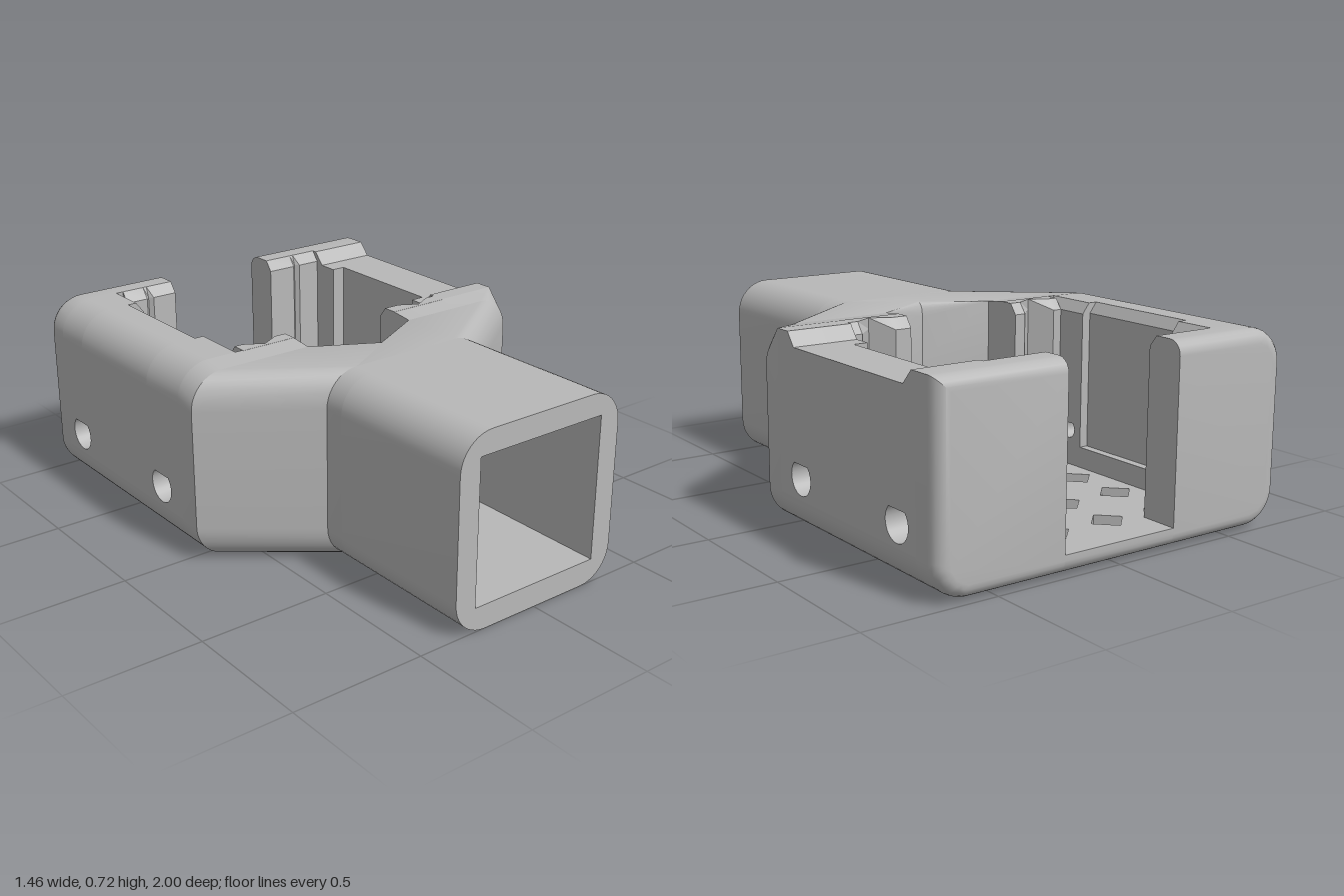
import * as THREE from 'three';
import { toCreasedNormals } from 'three/addons/utils/BufferGeometryUtils.js';
import { ConvexGeometry } from 'three/addons/geometries/ConvexGeometry.js';

const BACK = -0.885, FRONT = -0.04, SLOT = 0.235, HALF = 0.73, LOW = 0.01, TOP = 0.72, R = 0.13;

// Rectangle outline with its own radius on each corner: bottom right, top right, top left, bottom left
function section(x0, x1, y0, y1, [br, tr, tl, bl]) {
  const pts = [];
  const corner = (cx, cy, r, start) => {
    const n = r > 0 ? 10 : 0;
    for (let i = 0; i <= n; i++) {
      const a = start + (n ? (i / n) * Math.PI / 2 : 0);
      pts.push(new THREE.Vector2(cx + r * Math.cos(a), cy + r * Math.sin(a)));
    }
  };
  corner(x1 - br, y0 + br, br, -Math.PI / 2);
  corner(x1 - tr, y1 - tr, tr, 0);
  corner(x0 + tl, y1 - tl, tl, Math.PI / 2);
  corner(x0 + bl, y0 + bl, bl, Math.PI);
  return pts;
}
const toShape = (pts) => new THREE.Shape(pts.map((p) => (Array.isArray(p) ? new THREE.Vector2(...p) : p)));
const extrude = (shape, depth) => new THREE.ExtrudeGeometry(shape, { depth, bevelEnabled: false, curveSegments: 10 });
const alongZ = (shape, z0, z1) => extrude(shape, z1 - z0).translate(0, 0, z0);
// Shapes drawn as (-z, y) and as (x, -z)
const alongX = (shape, x0, x1) => extrude(shape, x1 - x0).rotateY(Math.PI / 2).translate(x0, 0, 0);
const alongY = (shape, y0, y1) => extrude(shape, y1 - y0).rotateX(-Math.PI / 2).translate(0, y0, 0);
const hull = (sections) => new ConvexGeometry(
  sections.flatMap(([pts, z]) => pts.map((p) => new THREE.Vector3(p.x, p.y, z))));

function teardrop(a, y, r) {
  const p = new THREE.Path();
  p.moveTo(a, y + r * 1.414);
  p.absarc(a, y, r, Math.PI * 0.75, Math.PI * 2.25, false);
  p.closePath();
  return p;
}

export function createModel() {
  const model = new THREE.Group();
  const grey = new THREE.MeshStandardMaterial({ color: 0xb8b8b8 });
  grey.name = 'grey plastic';
  const add = (name, geometry) => {
    const mesh = new THREE.Mesh(toCreasedNormals(geometry, 0.5), grey);
    mesh.name = name;
    model.add(mesh);
  };

  // Hollow square handle with a closed inner end
  const handle = section(-0.355, 0.355, 0, 0.715, [R, R, R, R]);
  const tube = toShape(handle);
  tube.holes.push(new THREE.Path(section(-0.27, 0.27, 0.09, 0.63, [0, 0, 0, 0])));
  add('handleTube', alongZ(tube, 0.4, 1));
  add('handleEnd', alongZ(toShape(handle), 0.32, 0.4));

  // Floor with a grid of diamond holes
  const floor = toShape(section(-0.48, 0.48, -0.05, -BACK, [0, 0, 0, 0]));
  for (const x of [-0.35, -0.11, 0.13, 0.37]) {
    for (const a of [0.12, 0.35, 0.575, 0.805]) {
      floor.holes.push(new THREE.Path([[0.07, 0], [0, 0.07], [-0.07, 0], [0, -0.07]]
        .map(([u, v]) => new THREE.Vector2(x + u, a + v))));
    }
  }
  add('floor', alongY(floor, LOW, 0.08));

  // Rounded rear edge: inset grows towards the back face
  const rear = [0, 1, 2, 3, 4, 5].map((i) => {
    const t = (i / 5) * Math.PI / 2;
    return [0.05 * (1 - Math.cos(t)), -0.95 - 0.05 * Math.sin(t)];
  });
  rear.unshift([0, BACK]);
  add('rearSill', hull(rear.map(([i, z]) => [section(-SLOT, SLOT, LOW + i, 0.08, [0, 0, 0, 0]), z])));

  for (const s of [1, -1]) {
    const side = s > 0 ? 'left' : 'right';
    const inner = s > 0 ? 0.48 : 0.455;
    const pocket = s > 0 ? 0.535 : 0.49;
    const [p0, p1] = s > 0 ? [0.22, 0.74] : [0.25, 0.73];
    const topR = s > 0 ? 0 : R;
    const half = (i, tr, top = TOP) =>
      section(SLOT, HALF - i, LOW + i, top - i, [R - i, Math.max(tr - i, 0), 0, 0])
        .map((p) => new THREE.Vector2(p.x * s, p.y));

    // Arm blending the box into the handle, front and rear wall halves
    add(side + 'Arm', hull([[half(0, R, 0.71), 0.05], [handle, 0.32]]));
    add(side + 'FrontWall', hull([[half(0, topR), FRONT], [half(0, R, 0.71), 0.05]]));
    add(side + 'RearWall', hull(rear.map(([i, z]) => [half(i, topR), z])));

    // Grooved inner faces of the front and rear walls, chamfered at the top
    const cx = s > 0 ? 0.37 : 0.35;
    for (const [name, face, behind, w, tip, lip] of [
      ['FrontLiner', -0.12, -0.035, 0.07, -0.05, -0.09],
      ['RearLiner', -0.855, -0.9, 0.015, -0.87, -0.885]]) {
      const shape = toShape([[SLOT, face], [cx - w, face], [cx, tip], [cx + w, face],
        [inner, face], [inner, behind], [SLOT, behind]].map(([x, z]) => [x * s, -z]));
      add(side + name, alongY(shape, 0.08, 0.68));
      const rim = alongY(shape, 0.68, TOP);
      const pos = rim.attributes.position;
      for (let i = 0; i < pos.count; i++) {
        if (pos.getY(i) < 0.7) continue;
        const z = pos.getZ(i);
        pos.setZ(i, lip > -0.5 ? Math.max(z, lip) : Math.min(z, lip));
      }
      add(side + name + 'Rim', rim);
    }

    // Side wall in layers: countersunk outside, pocketed inside
    const edge = s > 0 ? 0.67 : 0.59;
    const ends = s > 0 ? [[[0.04, TOP], [0.11, TOP], [0.15, edge]], [[0.82, edge], [0.865, TOP], [-BACK, TOP]]]
      : [[[0.04, edge]], [[-BACK, edge]]];
    const layer = (x0, x1, r, cut) => {
      const shape = toShape([[0.04, 0.14], ...ends[0], ...cut, ...ends[1], [-BACK, 0.14]]);
      for (const a of [0.18, 0.78]) shape.holes.push(teardrop(a, 0.22, r));
      return s > 0 ? alongX(shape, x0, x1) : alongX(shape, -x1, -x0);
    };
    add(side + 'WallOuter', layer(0.6, HALF, 0.065, []));
    add(side + 'WallCore', layer(pocket, 0.6, 0.035, []));
    add(side + 'WallInner', layer(inner, pocket, 0.035,
      [[p0, edge], [p0, 0.16], [p1, 0.16], [p1, edge]]));

    // Rounded lower edge
    const lower = section(inner, HALF, LOW, 0.14, [R, 0, 0, 0]).map((p) => new THREE.Vector2(p.x * s, p.y));
    add(side + 'LowerEdge', alongZ(toShape(lower), BACK, FRONT));

    // Rounded top rail with an inner chamfer, set back over the pocket
    if (s < 0) {
      for (const [z0, z1, x] of [[BACK, -p1, inner], [-p1, -p0, pocket], [-p0, FRONT, inner]]) {
        const outer = section(x, HALF, 0.59, TOP, [0, R, 0, 0]).filter((p) => !(p.x === x && p.y > 0.7));
        const rail = [...outer.slice(0, -1), new THREE.Vector2(x + 0.03, TOP),
          new THREE.Vector2(x, 0.68), outer[outer.length - 1]];
        add('rightTopRail', alongZ(toShape(rail.map((p) => [-p.x, p.y])), z0, z1));
      }
    }
  }
  return model;
}
